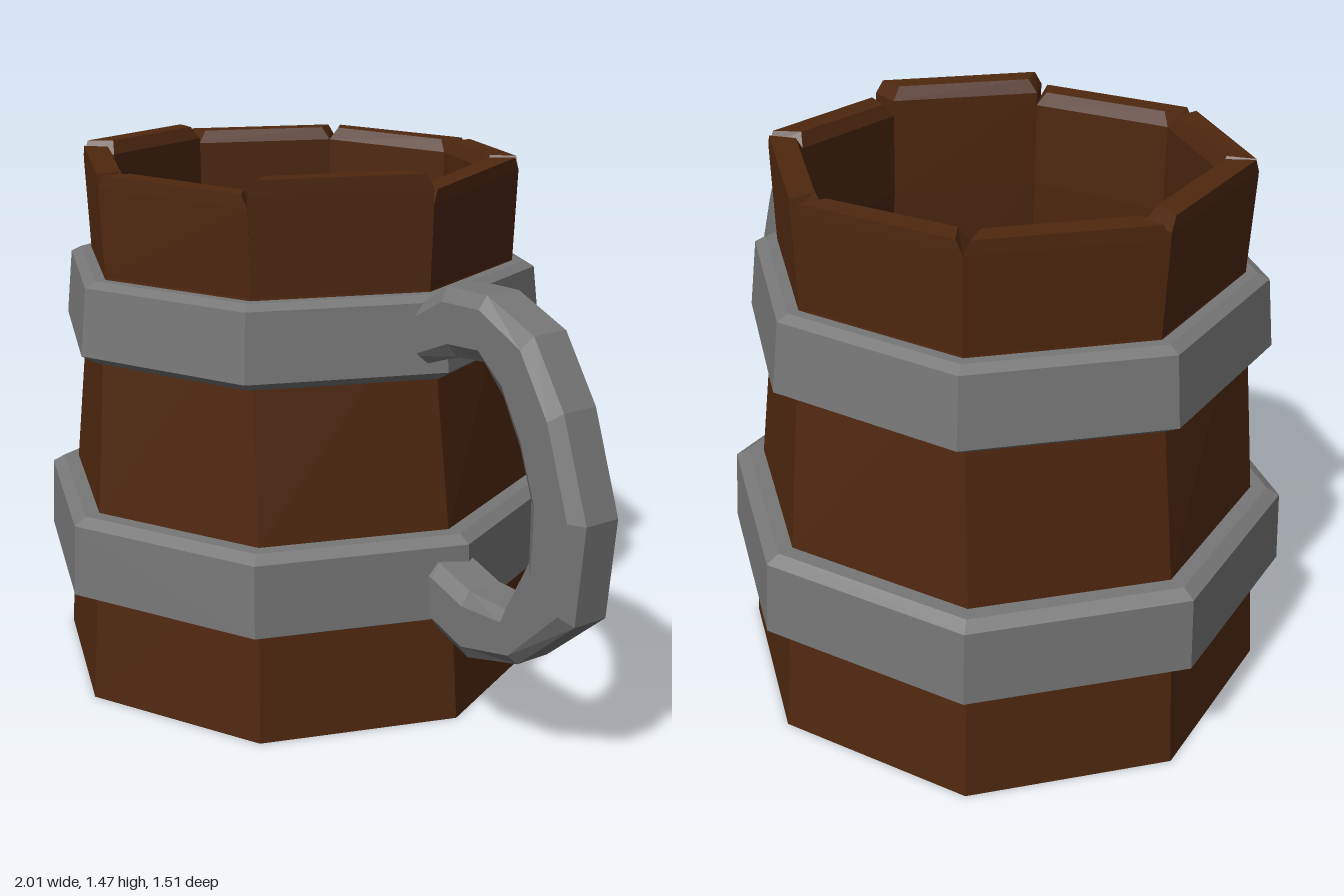
import * as THREE from 'three';

const CX = -0.255;                       // axis of the tankard body
const TWIST = THREE.MathUtils.degToRad(2.3);
const wood = new THREE.MeshStandardMaterial({ color: 0x4f280f, flatShading: true });
const metal = new THREE.MeshStandardMaterial({ color: 0x777777, flatShading: true });

// Skin closed cross-sections, each counter-clockwise seen from the far end.
function loft(sections, startCap = true) {
  const n = sections[0].length, index = [];
  for (let s = 0; s < sections.length - 1; s++) {
    for (let j = 0; j < n; j++) {
      const k = (j + 1) % n, a = s * n + j, b = s * n + k;
      index.push(a, b, b + n, a, b + n, a + n);
    }
  }
  const last = (sections.length - 1) * n;
  for (let j = 1; j < n - 1; j++) {
    if (startCap) index.push(0, j + 1, j);
    index.push(last, last + j, last + j + 1);
  }
  const geo = new THREE.BufferGeometry();
  geo.setAttribute('position', new THREE.Float32BufferAttribute(sections.flat(2), 3));
  geo.setIndex(index);
  geo.computeVertexNormals();
  return geo;
}

function add(parent, name, geo, material) {
  const mesh = new THREE.Mesh(geo, material);
  mesh.name = name;
  parent.add(mesh);
  return mesh;
}

// One plank of the wall; h0 and h1 are the heights of its two top corners.
function staveGeometry(i, h0, h1) {
  const at = (r, a, y) => [r * Math.cos(a), y, -r * Math.sin(a)];
  const section = (y0, y1, ro, ri, twist, inset = 0) => {
    const a0 = i * Math.PI / 4 + twist, a1 = a0 + Math.PI / 4;
    return [
      at(ro, a0 + inset, y0), at(ro, a1 - inset, y1),
      at(ri, a1 - inset * 1.6, y1), at(ri, a0 + inset * 1.6, y0),
    ];
  };
  return loft([
    section(0, 0, 0.71, 0.62, TWIST),
    section(0.53, 0.53, 0.668, 0.578, TWIST * 0.9),
    section(1.17, 1.17, 0.605, 0.525, 0),
    section(h0 - 0.035, h1 - 0.035, 0.615, 0.525, 0),
    section(h0, h1, 0.607, 0.535, 0, 0.03),
  ], false);
}

// Eight-sided metal hoop with bevelled rims.
function hoopGeometry(profile) {
  return new THREE.LatheGeometry(profile.map(([r, y]) => new THREE.Vector2(r, y)), 8);
}

// Handle sections: outer edge x, y then inner edge x, y.
function handleGeometry() {
  const path = [
    [0.35, 1.13, 0.36, 0.98], [0.48, 1.21, 0.52, 1.04], [0.63, 1.215, 0.63, 1.05],
    [0.80, 1.15, 0.70, 0.98], [0.91, 0.99, 0.765, 0.87], [1.0, 0.74, 0.81, 0.75],
    [0.975, 0.48, 0.81, 0.59], [0.78, 0.31, 0.73, 0.44], [0.59, 0.255, 0.59, 0.44],
    [0.47, 0.29, 0.47, 0.475], [0.40, 0.33, 0.40, 0.48],
  ];
  const outline = [[0, 0.05], [0.2, 0.075], [0.8, 0.075], [1, 0.05],
    [1, -0.05], [0.8, -0.075], [0.2, -0.075], [0, -0.05]];
  return loft(path.map(([ox, oy, ix, iy]) => outline.map(([t, z]) =>
    [ox + (ix - ox) * t, oy + (iy - oy) * t, z])));
}

export function createModel() {
  const model = new THREE.Group();
  model.name = 'tankard';

  const body = new THREE.Group();
  body.name = 'body';
  body.position.x = CX;
  model.add(body);

  // Wooden wall of uneven staves, counter-clockwise from the handle
  const heights = [[1.425, 1.45], [1.45, 1.44], [1.44, 1.45], [1.45, 1.45],
    [1.465, 1.465], [1.455, 1.44], [1.44, 1.43], [1.465, 1.467]];
  heights.forEach(([h0, h1], i) => add(body, `stave${i + 1}`, staveGeometry(i, h0, h1), wood));

  // Floor of the vessel
  const base = add(body, 'base', new THREE.CylinderGeometry(0.69, 0.71, 0.1, 8), wood);
  base.position.y = 0.05;
  base.rotation.y = TWIST;

  // Metal hoops
  const lower = add(body, 'lowerHoop', hoopGeometry([
    [0.64, 0.295], [0.70, 0.295], [0.755, 0.32], [0.745, 0.515], [0.71, 0.535], [0.64, 0.535],
  ]), metal);
  lower.rotation.y = TWIST;
  add(body, 'upperHoop', hoopGeometry([
    [0.58, 0.945], [0.645, 0.945], [0.685, 0.97], [0.665, 1.15], [0.635, 1.165], [0.58, 1.165],
  ]), metal);

  // Metal handle on the left side
  add(model, 'handle', handleGeometry(), metal);
  return model;
}
